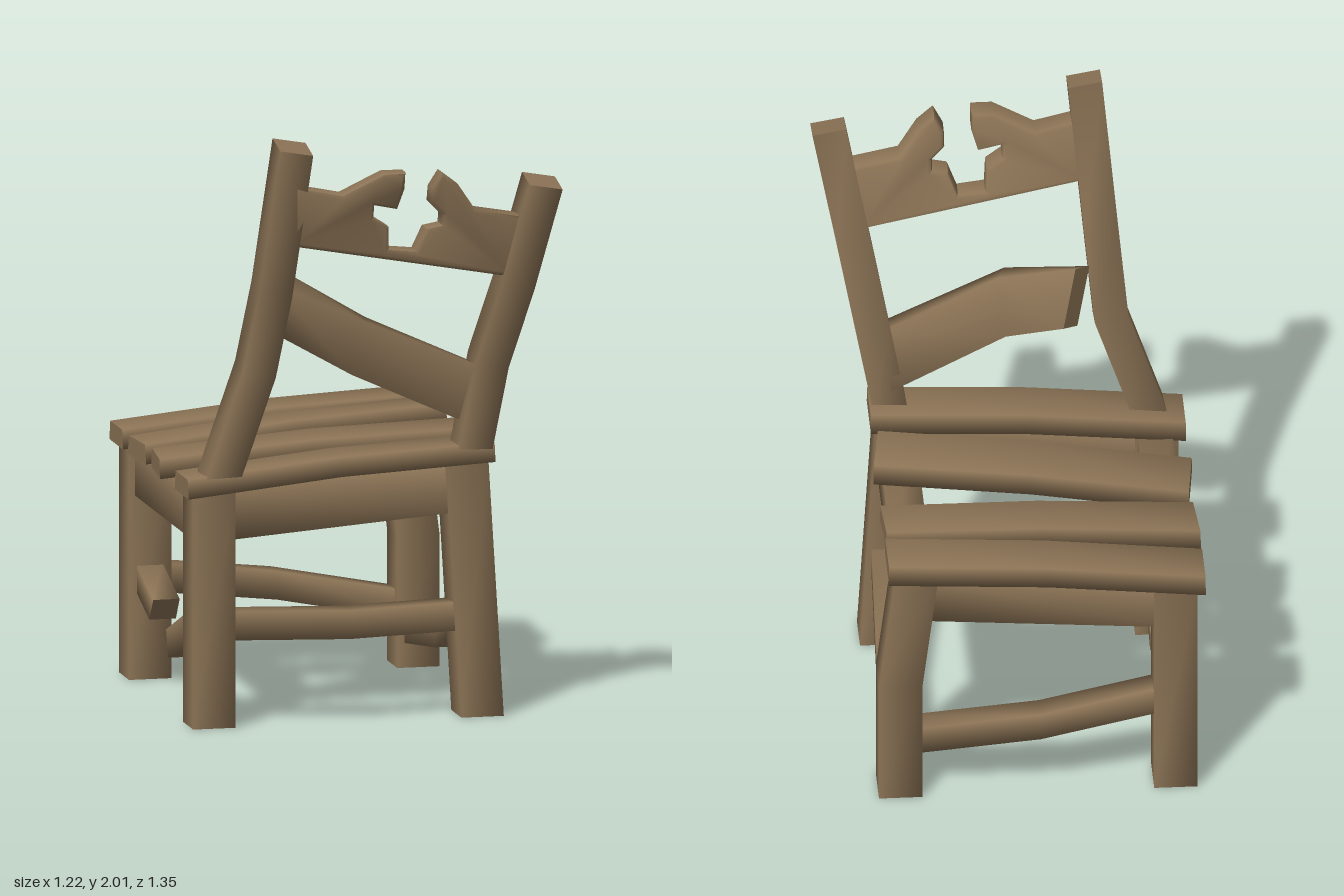
import * as THREE from 'three';
import { toCreasedNormals } from 'three/addons/utils/BufferGeometryUtils.js';

const wood = new THREE.MeshStandardMaterial({ color: 0x8b7355 });
wood.name = 'weathered wood';

// Four-sided log through rings {c, u, v}: centre plus two half-width vectors.
// Sides share normals (soft edges), ends are flat; taper narrows the +v side.
function loft(name, rings, taper = 1) {
  const vec = (a) => new THREE.Vector3(...a);
  const loops = rings.map(({ c, u, v }, i) => {
    const a = vec(rings[Math.max(i - 1, 0)].c);
    const dir = vec(rings[Math.min(i + 1, rings.length - 1)].c).sub(a);
    const U = vec(u), V = vec(v), C = vec(c);
    if (U.clone().cross(V).dot(dir) < 0) U.negate();
    return [[-1, -1], [1, -1], [1, 1], [-1, 1]].map(([s, t]) =>
      C.clone().addScaledVector(U, s * (t > 0 ? taper : 1)).addScaledVector(V, t));
  });
  const first = loops[0], last = loops[loops.length - 1];
  const points = [...loops.flat(), ...first, ...last];
  const index = [];
  for (let i = 0; i < loops.length - 1; i++) {
    for (let j = 0; j < 4; j++) {
      const a = i * 4 + j, b = i * 4 + (j + 1) % 4;
      index.push(a, b, b + 4, a, b + 4, a + 4);
    }
  }
  const s = loops.length * 4, e = s + 4;
  index.push(s, s + 2, s + 1, s, s + 3, s + 2, e, e + 1, e + 2, e, e + 2, e + 3);
  const geo = new THREE.BufferGeometry().setFromPoints(points);
  geo.setIndex(index);
  geo.computeVertexNormals();
  const mesh = new THREE.Mesh(geo, wood);
  mesh.name = name;
  return mesh;
}

// Log of constant section through a few points
const beam = (name, path, u, v) => loft(name, path.map((c) => ({ c, u, v })));

// Seat plank between two end edges, each [front x, front z, back x, back z]
function slat(name, right, left) {
  const mid = right.map((n, i) => (n + left[i]) / 2);
  const rings = [[right, 0.812], [mid, 0.865], [left, 0.892]].map(([[fx, fz, bx, bz], y]) => ({
    c: [(fx + bx) / 2, y, (fz + bz) / 2],
    u: [(bx - fx) / 2, 0, (bz - fz) / 2],
    v: [0, 0.032, 0],
  }));
  return loft(name, rings, 0.86);
}

// Broken top board of the backrest, leaning with the posts
function topBoard() {
  const outline = [
    [-0.29, 1.645], [0.46, 1.505], [0.49, 1.72], [0.327, 1.75], [0.264, 1.84], [0.206, 1.885],
    [0.175, 1.83], [0.174, 1.777], [0.216, 1.735], [0.216, 1.7], [0.163, 1.69], [0.132, 1.613],
    [0.042, 1.623], [0.037, 1.7], [-0.016, 1.735], [-0.016, 1.777], [0.063, 1.76], [0.084, 1.83],
    [0.084, 1.889], [0.01, 1.889], [-0.127, 1.82], [-0.29, 1.855],
  ].map(([x, y]) => new THREE.Vector2(x, y));
  let geo = new THREE.ExtrudeGeometry(new THREE.Shape(outline), {
    depth: 0.05, bevelEnabled: true, bevelThickness: 0.018, bevelSize: 0.014,
    bevelOffset: -0.014, bevelSegments: 2,
  });
  const p = geo.attributes.position;
  for (let i = 0; i < p.count; i++) {
    p.setZ(i, p.getZ(i) - 0.025 + 0.525 + (p.getY(i) - 1.5) * 0.24);
  }
  geo = toCreasedNormals(geo, 0.9);
  const mesh = new THREE.Mesh(geo, wood);
  mesh.name = 'brokenTopBoard';
  return mesh;
}

export function createModel() {
  const chair = new THREE.Group();
  chair.name = 'brokenChair';
  const add = (...parts) => chair.add(...parts);

  // Legs: straight on the low side, leaning or bent on the high side
  const lu = [0.072, 0, 0], lv = [0, 0, 0.072];
  add(
    beam('legBackRight', [[-0.51, 0, 0.34], [-0.51, 0.8, 0.34]], lu, lv),
    beam('legFrontRight', [[-0.51, 0, -0.57], [-0.51, 0.8, -0.57]], lu, lv),
    beam('legBackLeft', [[0.402, 0, 0.34], [0.35, 0.86, 0.34]], lu, lv),
    beam('legFrontLeft', [[0.402, 0, -0.57], [0.402, 0.44, -0.57], [0.35, 0.86, -0.57]], lu, lv),
  );

  // Rails under the seat
  for (const [name, z] of [['railBack', 0.34], ['railFront', -0.57]]) {
    add(beam(name, [[-0.48, 0.71, z], [0.33, 0.772, z]], [0, 0, 0.055], [0, 0.083, 0]));
  }
  add(
    beam('railRight', [[-0.505, 0.705, 0.3], [-0.505, 0.705, -0.53]], [0.057, 0, 0], [0, 0.085, 0]),
    beam('railLeft', [[0.355, 0.77, 0.3], [0.355, 0.77, -0.53]], [0.062, 0, 0], [0, 0.083, 0]),
  );

  // Seat planks
  add(
    slat('slatFront', [-0.607, -0.673, -0.607, -0.478], [0.442, -0.665, 0.442, -0.465]),
    slat('slatSecond', [-0.61, -0.4, -0.595, -0.2], [0.435, -0.458, 0.445, -0.27]),
    slat('slatThird', [-0.585, -0.17, -0.612, 0.065], [0.452, -0.06, 0.42, 0.178]),
    slat('slatBack', [-0.605, 0.245, -0.605, 0.443], [0.44, 0.24, 0.44, 0.437]),
  );

  // Lower stretchers and the two stubs of the snapped one
  const flat = [0, 0.048, 0], deep = [0, 0, 0.045], wide = [0.045, 0, 0];
  add(
    beam('stretcherBack', [[-0.48, 0.338, 0.34], [-0.06, 0.338, 0.412], [0.37, 0.338, 0.34]], deep, flat),
    beam('stretcherFront', [[-0.48, 0.335, -0.57], [-0.06, 0.28, -0.628], [0.4, 0.2, -0.57]], deep, flat),
    beam('stretcherLeft', [[0.39, 0.345, 0.3], [0.4, 0.195, -0.07], [0.4, 0.125, -0.54]], wide, flat),
    beam('stubBack', [[-0.51, 0.34, 0.3], [-0.51, 0.2, -0.07]], wide, [0, 0.045, -0.015]),
    beam('stubFront', [[-0.51, 0.35, -0.54], [-0.51, 0.272, -0.295]], wide, [0, 0.038, 0.027]),
  );

  // Backrest posts
  const pu = [0.056, -0.01, 0], pv = [0, -0.012, 0.055];
  add(
    beam('postRight', [[-0.49, 0.83, 0.375], [-0.365, 1.2, 0.39], [-0.338, 1.49, 0.51], [-0.293, 1.985, 0.62]], pu, pv),
    beam('postLeft', [[0.368, 0.88, 0.37], [0.427, 1.2, 0.39], [0.484, 1.48, 0.515], [0.555, 1.835, 0.62]], pu, pv),
  );

  // Backrest boards: the lower one has swung forward off its post
  add(
    topBoard(),
    loft('brokenLowerBoard', [
      { c: [-0.24, 1.385, 0.22], u: [0.025, 0.015, -0.03], v: [-0.022, 0.097, 0.031] },
      { c: [-0.015, 1.262, 0.392], u: [0.012, 0, -0.03], v: [0.01, 0.097, 0.031] },
      { c: [0.38, 1.08, 0.368], u: [0, 0, -0.03], v: [0.015, 0.1, 0.028] },
    ]),
  );
  return chair;
}
